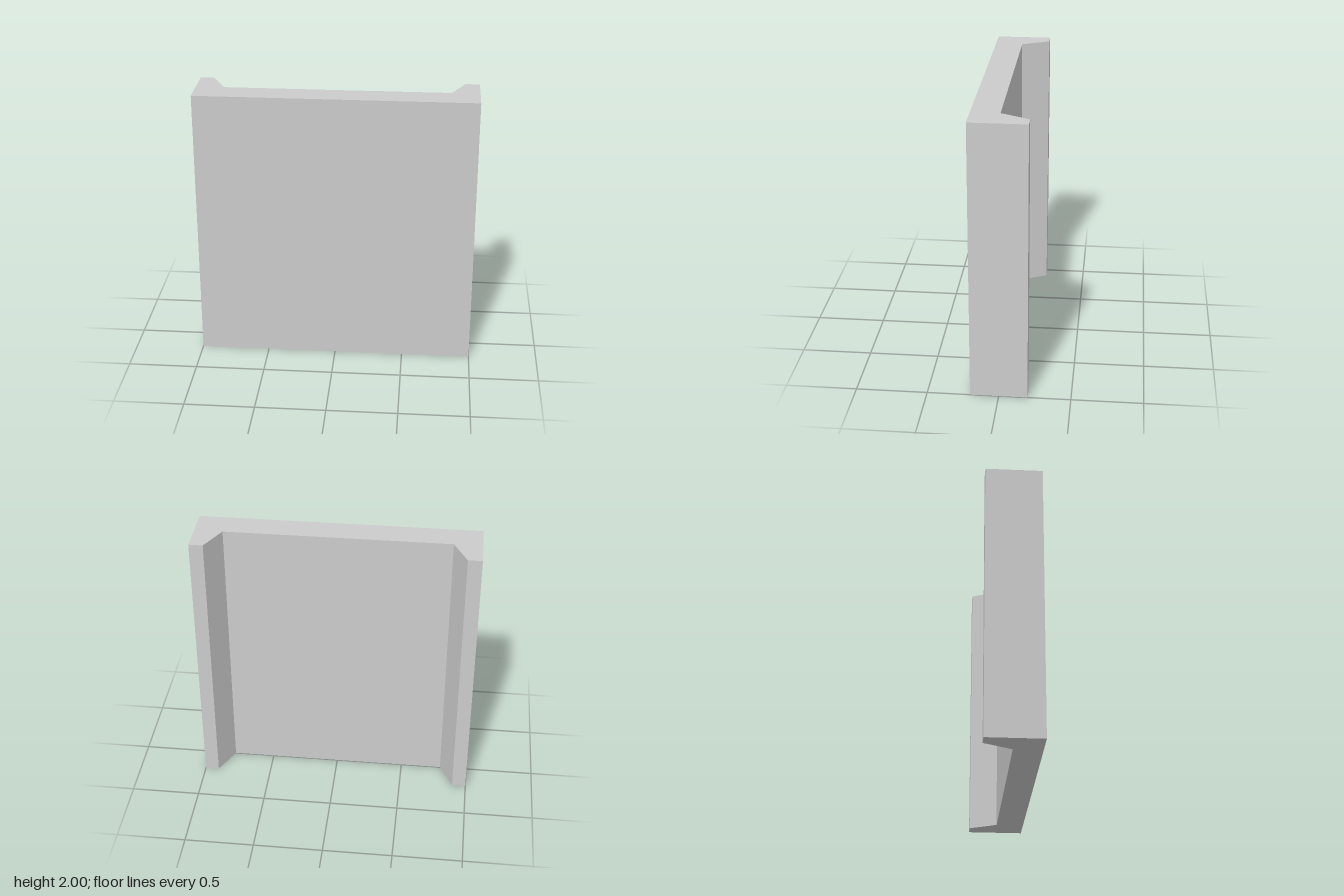
import * as THREE from 'three';

const HEIGHT = 2;

export function createModel() {
  const group = new THREE.Group();
  group.name = 'channelPanel';

  // Right half of the cross-section, front to back (x, -z); mirrored for the left half
  const half = [[1, -0.2], [1, 0.2], [0.9, 0.2], [0.8, 0]];
  const mirrored = half.map(([x, y]) => [-x, y]).reverse();
  const outline = [...half, ...mirrored].map(([x, y]) => new THREE.Vector2(x, y));

  // Panel with a tapered flange along each back edge, extruded upwards
  const geometry = new THREE.ExtrudeGeometry(new THREE.Shape(outline), {
    depth: HEIGHT,
    bevelEnabled: false,
  });
  geometry.rotateX(-Math.PI / 2);

  const material = new THREE.MeshStandardMaterial({ color: 0xcccccc, flatShading: true });
  const panel = new THREE.Mesh(geometry, material);
  panel.name = 'flangedPanel';
  group.add(panel);

  return group;
}
